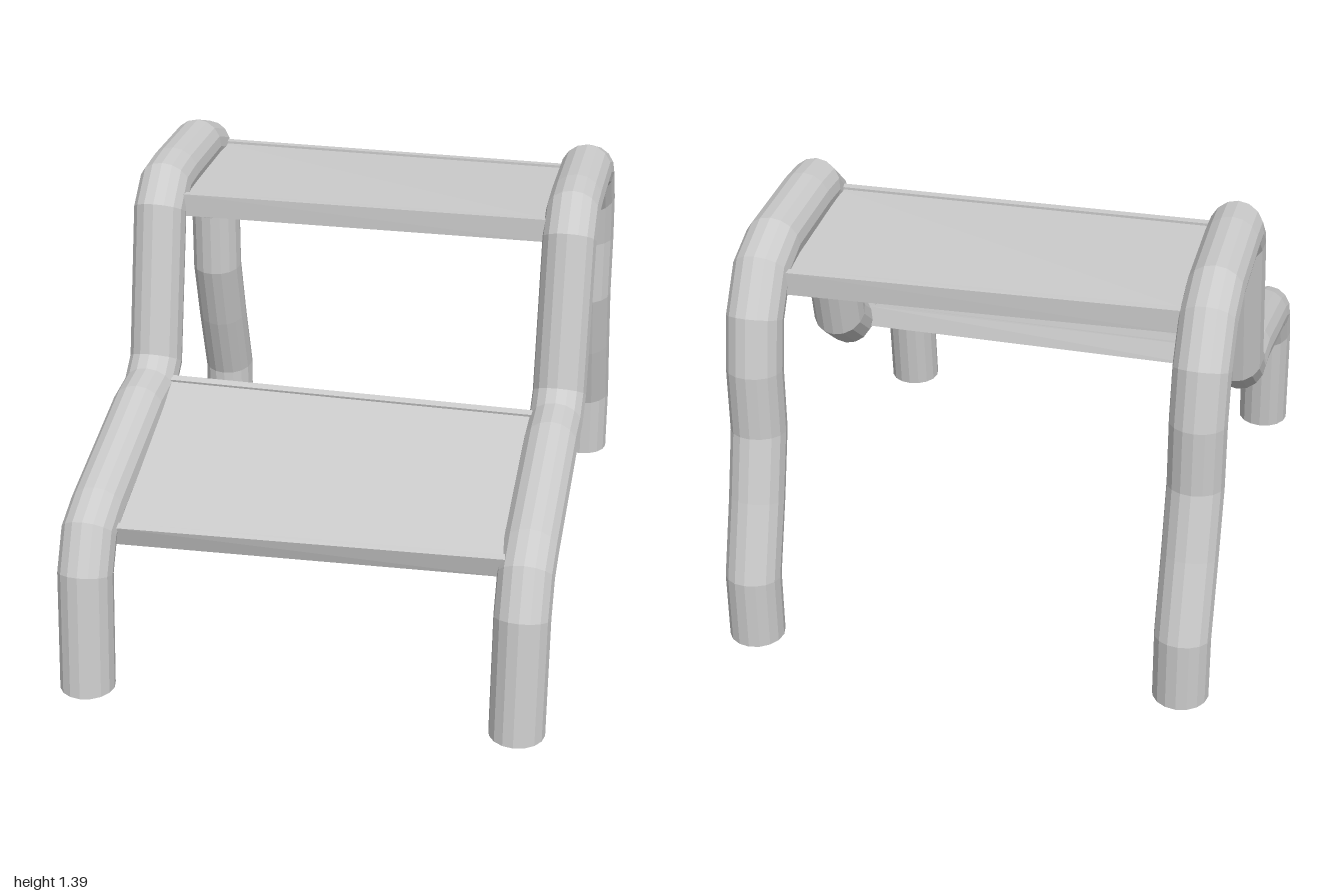
import * as THREE from 'three';

const material = new THREE.MeshStandardMaterial({ color: 0xcccccc, flatShading: true, side: THREE.DoubleSide });
const RADIUS = 0.087, SIDES = 16, RAIL_X = 0.68;

// Centre line of a side rail as [z, y], from the front foot to the back foot
const railPath = [
  [0.915, 0], [0.877, 0.385], [0.82, 0.495], [0.725, 0.535], [0.26, 0.66], [0.125, 0.672], [0.04, 0.74],
  [-0.075, 1.23], [-0.15, 1.295], [-0.25, 1.302], [-0.55, 1.298], [-0.665, 1.258], [-0.745, 1.14],
  [-0.777, 0.98], [-0.777, 0.765], [-0.835, 0.55], [-0.912, 0.31], [-0.912, 0.09],
];

function buildGeometry(positions, index) {
  const geometry = new THREE.BufferGeometry();
  geometry.setAttribute('position', new THREE.Float32BufferAttribute(positions, 3));
  geometry.setIndex(index);
  const flat = geometry.toNonIndexed();
  flat.computeVertexNormals();
  return flat;
}

// Bent tube with mitred joints and level-cut feet
function railGeometry() {
  const pts = railPath.map(([z, y]) => new THREE.Vector2(z, y));
  const last = pts.length - 1;
  const dir = (i) => pts[i + 1].clone().sub(pts[i]).normalize();
  const positions = [], index = [];
  pts.forEach((p, i) => {
    let t, stretch = 1;
    if (i === 0) t = new THREE.Vector2(0, 1);
    else if (i === last) t = new THREE.Vector2(0, -1);
    else {
      t = dir(i - 1).add(dir(i)).normalize();
      stretch = 1 / t.dot(dir(i));
    }
    for (let j = 0; j < SIDES; j++) {
      const a = (j / SIDES) * Math.PI * 2;
      const s = Math.sin(a) * RADIUS * stretch;
      positions.push(Math.cos(a) * RADIUS, p.y + t.x * s, p.x - t.y * s);
    }
  });
  for (let i = 0; i < last; i++) {
    for (let j = 0; j < SIDES; j++) {
      const k = (j + 1) % SIDES;
      const a = i * SIDES + j, b = i * SIDES + k;
      index.push(a, b, a + SIDES, b, b + SIDES, a + SIDES);
    }
  }
  // Foot caps
  for (let j = 1; j < SIDES - 1; j++) {
    const e = last * SIDES;
    index.push(0, j + 1, j, e, e + j, e + j + 1);
  }
  return buildGeometry(positions, index);
}

// Tread cross-section: a slab with a raised lip along its front and back edges
function treadSection([fz, fy], [bz, by], thickness) {
  const front = new THREE.Vector2(fz, fy);
  const along = new THREE.Vector2(bz - fz, by - fy);
  const length = along.length();
  along.normalize();
  const up = new THREE.Vector2(along.y, -along.x);
  const lip = 0.025, recess = 0.008;
  return [
    [0, -thickness], [0, 0], [lip, 0], [lip, -recess],
    [length - lip, -recess], [length - lip, 0], [length, 0], [length, -thickness],
  ].map(([d, h]) => front.clone().addScaledVector(along, d).addScaledVector(up, h));
}

// Loft between the sections at the two ends of a tread
function treadGeometry(rightEnd, leftEnd, halfWidth) {
  const positions = [], index = [], n = rightEnd.length;
  [[rightEnd, -halfWidth], [leftEnd, halfWidth]].forEach(([section, x]) =>
    section.forEach((p) => positions.push(x, p.y, p.x)));
  for (let i = 0; i < n; i++) {
    const k = (i + 1) % n;
    index.push(i, i + n, k, k, i + n, k + n);
  }
  for (const [a, b, c] of THREE.ShapeUtils.triangulateShape(rightEnd, [])) {
    index.push(a, b, c, a + n, c + n, b + n);
  }
  return buildGeometry(positions, index);
}

export function createModel() {
  const group = new THREE.Group();
  const add = (name, geometry, x = 0) => {
    const mesh = new THREE.Mesh(geometry, material);
    mesh.name = name;
    mesh.position.x = x;
    group.add(mesh);
  };

  // Side rails
  const rail = railGeometry();
  add('leftRail', rail, RAIL_X);
  add('rightRail', rail, -RAIL_X);

  // Slightly twisted treads
  add('lowerStep', treadGeometry(
    treadSection([0.81, 0.512], [0.115, 0.72], 0.07),
    treadSection([0.838, 0.552], [0.14, 0.715], 0.07), 0.62));
  add('upperStep', treadGeometry(
    treadSection([-0.083, 1.287], [-0.675, 1.283], 0.075),
    treadSection([-0.086, 1.285], [-0.687, 1.268], 0.075), 0.62));

  return group;
}
